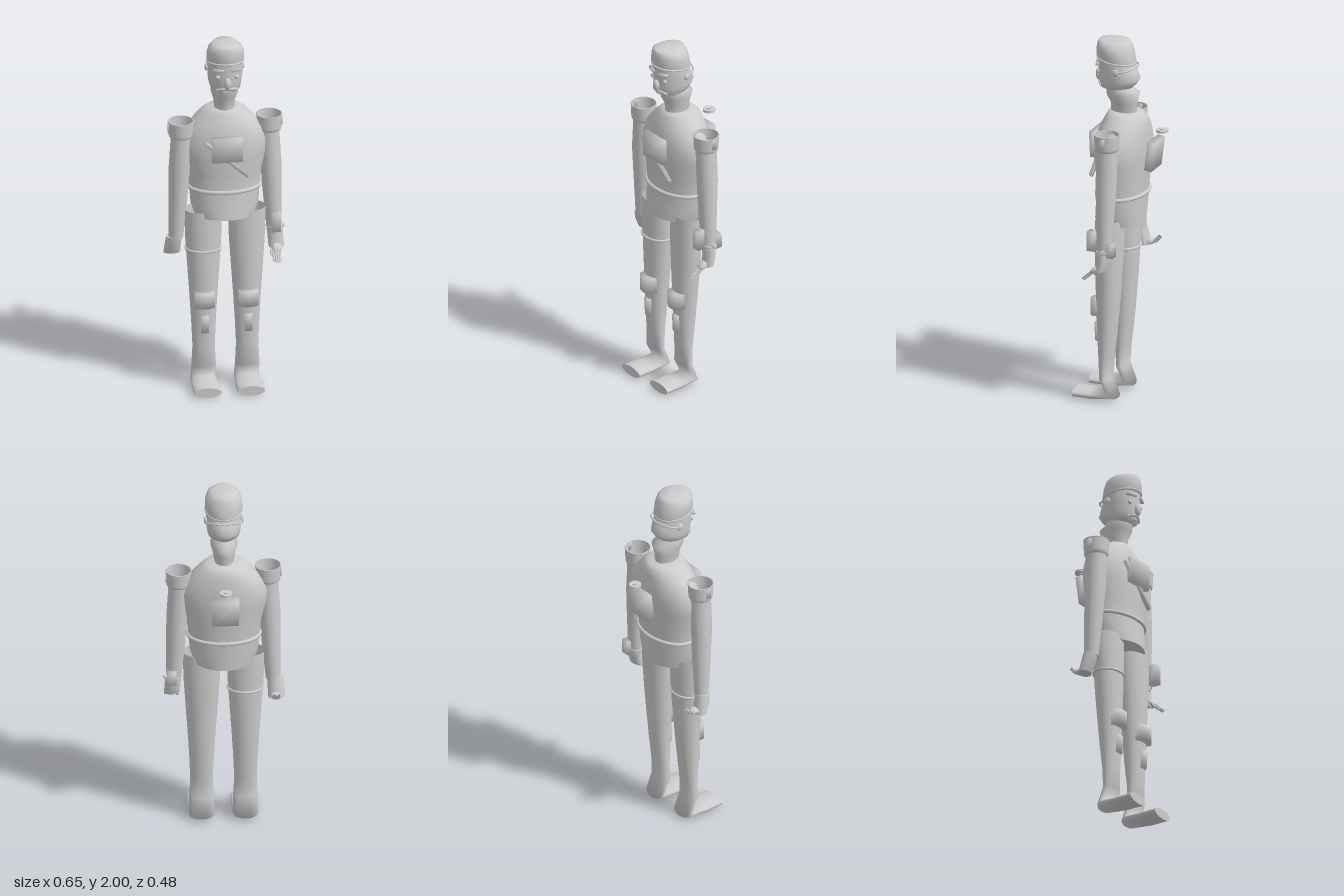
import * as THREE from 'three';

const grey = new THREE.MeshStandardMaterial({ color: 0xcccccc, side: THREE.DoubleSide });
grey.name = 'plain grey';

// Smooth skin over elliptical rings: [cx, rx, yFront, zFront, yBack, zBack]
function loft(rings, capStart = false, capEnd = false, n = 36) {
  const pos = [], idx = [];
  const addRing = ([cx, rx, yf, zf, yb, zb]) => {
    for (let j = 0; j < n; j++) {
      const a = (j / n) * Math.PI * 2, t = (1 + Math.cos(a)) / 2;
      pos.push(cx + rx * Math.sin(a), yb + (yf - yb) * t, zb + (zf - zb) * t);
    }
  };
  rings.forEach(addRing);
  for (let i = 0; i < rings.length - 1; i++) {
    for (let j = 0; j < n; j++) {
      const a = i * n + j, b = i * n + (j + 1) % n;
      idx.push(a, b, a + n, b, b + n, a + n);
    }
  }
  const cap = (r, flip) => {
    const s = pos.length / 3;
    addRing(r);
    pos.push(r[0], (r[2] + r[4]) / 2, (r[3] + r[5]) / 2);
    for (let j = 0; j < n; j++) {
      const a = s + j, b = s + (j + 1) % n;
      idx.push(s + n, flip ? b : a, flip ? a : b);
    }
  };
  if (capStart) cap(rings[0], true);
  if (capEnd) cap(rings[rings.length - 1], false);
  const g = new THREE.BufferGeometry();
  g.setAttribute('position', new THREE.Float32BufferAttribute(pos, 3));
  g.setIndex(idx);
  g.computeVertexNormals();
  return g;
}

// Level ring around a centre
const ring = (x, y, z, rx, rz = rx) => [x, rx, y, z + rz, y, z - rz];

// Tube through points
function tube(points, r, closed = false) {
  const curve = new THREE.CatmullRomCurve3(points.map(p => new THREE.Vector3(...p)), closed);
  return new THREE.TubeGeometry(curve, points.length * 6, r, 8, closed);
}

// Band following an ellipse, higher or lower at its back
function band(cx, rx, yf, zf, yb, zb, r) {
  const pts = [];
  for (let i = 0; i < 16; i++) {
    const a = (i / 16) * Math.PI * 2, t = (1 + Math.cos(a)) / 2;
    pts.push([cx + rx * Math.sin(a), yb + (yf - yb) * t, zb + (zf - zb) * t]);
  }
  return tube(pts, r, true);
}

// Box shaded smoothly across its corners, with its front bowed back at the sides
function softBox(w, h, d, bow = 0) {
  const g = new THREE.BoxGeometry(w, h, d, bow ? 10 : 1, 1, 1);
  const p = g.attributes.position, v = new THREE.Vector3();
  for (let i = 0; i < p.count; i++) {
    v.fromBufferAttribute(p, i);
    const u = v.x / (w / 2);
    p.setZ(i, v.z - bow * u * u);
    v.set(u, Math.sign(v.y), Math.sign(v.z)).normalize();
    g.attributes.normal.setXYZ(i, v.x, v.y, v.z);
  }
  return g;
}

export function createModel() {
  const model = new THREE.Group();
  const add = (name, geo, p = [0, 0, 0], rot = [0, 0, 0], s = [1, 1, 1]) => {
    const m = new THREE.Mesh(geo, grey);
    m.name = name;
    m.position.set(...p);
    m.rotation.set(...rot);
    m.scale.set(...s);
    model.add(m);
  };
  const ball = new THREE.SphereGeometry(1, 20, 14);

  // Jacket and belt
  add('jacket', loft([
    [0, 0.16, 1.0, 0.165, 0.985, -0.1],
    [0, 0.182, 1.06, 0.158, 1.06, -0.103],
    [0, 0.19, 1.16, 0.145, 1.16, -0.108],
    [0, 0.2, 1.25, 0.15, 1.25, -0.115],
    [0, 0.225, 1.35, 0.155, 1.35, -0.124],
    [0, 0.232, 1.42, 0.153, 1.42, -0.128],
    [0, 0.205, 1.49, 0.146, 1.49, -0.125],
    [0, 0.16, 1.545, 0.126, 1.545, -0.118],
    [0, 0.12, 1.585, 0.106, 1.58, -0.108],
    [0, 0.092, 1.608, 0.092, 1.597, -0.09],
    [0, 0.05, 1.61, 0.07, 1.605, -0.05],
  ], true, true, 48));
  add('belt', band(0, 0.192, 1.155, 0.148, 1.155, -0.11, 0.011));

  // Neck with flared collar, pinched below the back of the head
  add('neck', loft([
    [0, 0.053, 1.6, 0.085, 1.6, -0.057],
    [0, 0.058, 1.65, 0.086, 1.65, -0.06],
    [0, 0.073, 1.69, 0.108, 1.71, -0.075],
    [0, 0.068, 1.715, 0.11, 1.735, -0.03],
    [0, 0.068, 1.745, 0.12, 1.755, -0.045],
  ]));

  // Head, cap and cap band
  add('head', loft([
    [0, 0.06, 1.725, 0.12, 1.735, -0.03],
    [0, 0.083, 1.735, 0.142, 1.76, -0.055],
    [0, 0.09, 1.775, 0.15, 1.79, -0.076],
    [0, 0.094, 1.82, 0.155, 1.83, -0.06],
    [0, 0.095, 1.87, 0.155, 1.86, -0.048],
    [0, 0.094, 1.91, 0.155, 1.88, -0.044],
  ], true));
  add('cap', loft([
    [0, 0.092, 1.895, 0.155, 1.865, -0.045],
    [0, 0.1, 1.925, 0.165, 1.885, -0.05],
    [0, 0.099, 1.965, 0.163, 1.93, -0.042],
    [0, 0.09, 1.988, 0.159, 1.97, -0.03],
    [0, 0.065, 1.999, 0.15, 1.997, -0.018],
    [0, 0.02, 2.0, 0.09, 2.0, 0.04],
  ], false, true));
  add('capBand', band(0, 0.096, 1.905, 0.16, 1.875, -0.046, 0.006));
  add('glassesStrap', tube([[0.098, 1.842, 0.03], [0.088, 1.85, -0.02],
    [0.05, 1.858, -0.05], [0, 1.86, -0.06], [-0.05, 1.858, -0.05],
    [-0.088, 1.85, -0.02], [-0.098, 1.842, 0.03]], 0.005));

  // Face
  add('nose', ball, [0, 1.793, 0.157], [0, 0, 0], [0.02, 0.034, 0.018]);
  add('moustache', tube([[-0.055, 1.748, 0.125], [-0.03, 1.757, 0.141],
    [0, 1.76, 0.15], [0.03, 1.757, 0.141], [0.055, 1.748, 0.125]], 0.007));
  add('mouth', ball, [0, 1.74, 0.14], [0, 0, 0], [0.025, 0.006, 0.006]);
  for (const s of [-1, 1]) {
    add('eye', ball, [s * 0.05, 1.827, 0.14], [0, 0, 0], [0.013, 0.013, 0.01]);
    add('brow', softBox(0.06, 0.013, 0.018), [s * 0.046, 1.87, 0.147], [0, s * 0.35, 0]);
    add('ear', ball, [s * 0.098, 1.842, 0.026], [0, 0, 0], [0.009, 0.02, 0.02]);
  }

  // Legs with feet, bowed knee pads and shin plates
  for (const s of [-1, 1]) {
    const x = s * 0.117;
    add('leg', loft([
      [x, 0.073, 0.06, 0.237, 0.005, 0.237],
      [x, 0.072, 0.06, 0.15, 0.005, 0.12],
      [x, 0.068, 0.06, 0.062, 0.02, 0.0],
      [x, 0.066, 0.125, 0.098, 0.13, 0.036],
      [x, 0.06, 0.24, 0.106, 0.24, 0.025],
      [x, 0.066, 0.38, 0.114, 0.38, 0.008],
      [x, 0.074, 0.52, 0.118, 0.52, -0.005],
      [x, 0.086, 0.7, 0.122, 0.7, -0.018],
      [x, 0.096, 0.85, 0.124, 0.85, -0.026],
      [x, 0.102, 1.03, 0.122, 1.03, -0.03],
    ], true));
    add('kneePad', softBox(0.105, 0.088, 0.05, 0.022), [x, 0.527, 0.128]);
    add('shinPlate', softBox(0.042, 0.1, 0.022, 0.003), [x, 0.383, 0.117], [0.06, 0, 0]);
  }
  add('thighStrap', band(-0.117, 0.094, 0.805, 0.126, 0.805, -0.025, 0.007));

  // Arms: sleeves hanging from open shoulder cuffs
  const arms = [
    { name: 'right', x: -0.237, z: 0.05, wx: -0.262, wz: 0.035 },
    { name: 'left', x: 0.242, z: 0.012, wx: 0.268, wz: 0.018 },
  ];
  for (const { name, x, z, wx, wz } of arms) {
    const mx = x + (wx - x) * 0.6, mz = z + (wz - z) * 0.5;
    add(name + 'Sleeve', loft([
      ring(wx, 0.865, wz, 0.039, 0.038),
      ring(mx, 1.1, mz, 0.051, 0.05),
      ring(x + Math.sign(x) * 0.008, 1.28, z, 0.057, 0.057),
      ring(x, 1.42, z, 0.056, 0.057),
      ring(x, 1.5, z, 0.056, 0.058),
    ], true));
    add(name + 'ShoulderCuff', loft([
      ring(x, 1.455, z, 0.056), ring(x, 1.462, z, 0.064),
      ring(x, 1.475, z, 0.066), ring(x, 1.545, z, 0.069)]));
    add(name + 'ShoulderRim', new THREE.TorusGeometry(0.067, 0.003, 8, 40), [x, 1.545, z], [Math.PI / 2, 0, 0]);
    add(name + 'ShoulderPatch', softBox(0.004, 0.055, 0.03), [x + Math.sign(x) * 0.068, 1.51, z]);
  }

  // Hands: glove cuff, palm and fingers, right turned back and left turned forward
  add('rightGlove', loft([
    [-0.28, 0.045, 0.768, 0.035, 0.762, -0.025],
    [-0.277, 0.044, 0.82, 0.06, 0.82, -0.012],
    [-0.272, 0.042, 0.872, 0.072, 0.872, -0.002],
  ], true, true));
  add('rightPalm', ball, [-0.275, 0.783, -0.022], [0, 0, 0], [0.028, 0.018, 0.03]);
  add('leftGlove', loft([
    [0.278, 0.042, 0.775, 0.06, 0.79, 0.005],
    [0.275, 0.042, 0.83, 0.05, 0.83, -0.01],
    [0.271, 0.043, 0.88, 0.05, 0.88, -0.015],
  ], true, true));
  add('leftPalm', ball, [0.276, 0.785, 0.065], [0.6, 0, 0], [0.026, 0.016, 0.032]);
  for (let i = 0; i < 4; i++) {
    const d = (i - 1.5) * 0.011, l = i === 0 || i === 3 ? 0.012 : 0;
    add('rightFinger', tube([[-0.275 + d, 0.783, -0.025], [-0.277 + d, 0.783, -0.055 + l],
      [-0.277 + d * 0.8, 0.812, -0.083 + l]], 0.006));
    add('leftFinger', tube([[0.275 + d, 0.785, 0.07], [0.272 + d, 0.762, 0.1 - l],
      [0.272 + d, 0.728, 0.138 - l]], 0.006));
  }
  add('rightThumb', tube([[-0.262, 0.785, 0], [-0.25, 0.775, -0.025], [-0.252, 0.785, -0.045]], 0.007));
  add('leftThumb', tube([[0.262, 0.79, 0.045], [0.248, 0.765, 0.065], [0.245, 0.748, 0.08]], 0.007));

  // Left forearm devices
  add('forearmPanel', softBox(0.044, 0.11, 0.045), [0.27, 0.947, 0.085]);
  add('forearmBox', softBox(0.048, 0.08, 0.04), [0.28, 0.91, -0.026]);
  add('wristBand', band(0.269, 0.042, 0.895, 0.056, 0.895, -0.022, 0.005));
  add('wristDial', new THREE.CylinderGeometry(0.016, 0.016, 0.012, 20), [0.311, 0.895, 0.015], [0, 0, Math.PI / 2]);
  add('wristButton', ball, [0.32, 0.895, 0.015], [0, 0, 0], [0.005, 0.009, 0.009]);

  // Chest pouch and diagonal bar
  add('chestPouch', softBox(0.165, 0.142, 0.03), [-0.003, 1.415, 0.165], [0.04, 0, 0]);
  add('diagonalBar', softBox(0.305, 0.021, 0.018), [-0.003, 1.353, 0.157], [0, 0, -0.72]);

  // Backpack with round valve
  add('backpack', softBox(0.144, 0.162, 0.042), [0, 1.384, -0.162], [-0.13, 0, 0]);
  add('valveDisc', new THREE.CylinderGeometry(0.033, 0.033, 0.013, 32), [0, 1.519, -0.206]);
  add('valveKnob', new THREE.CylinderGeometry(0.014, 0.014, 0.026, 24), [0, 1.518, -0.206]);

  return model;
}
